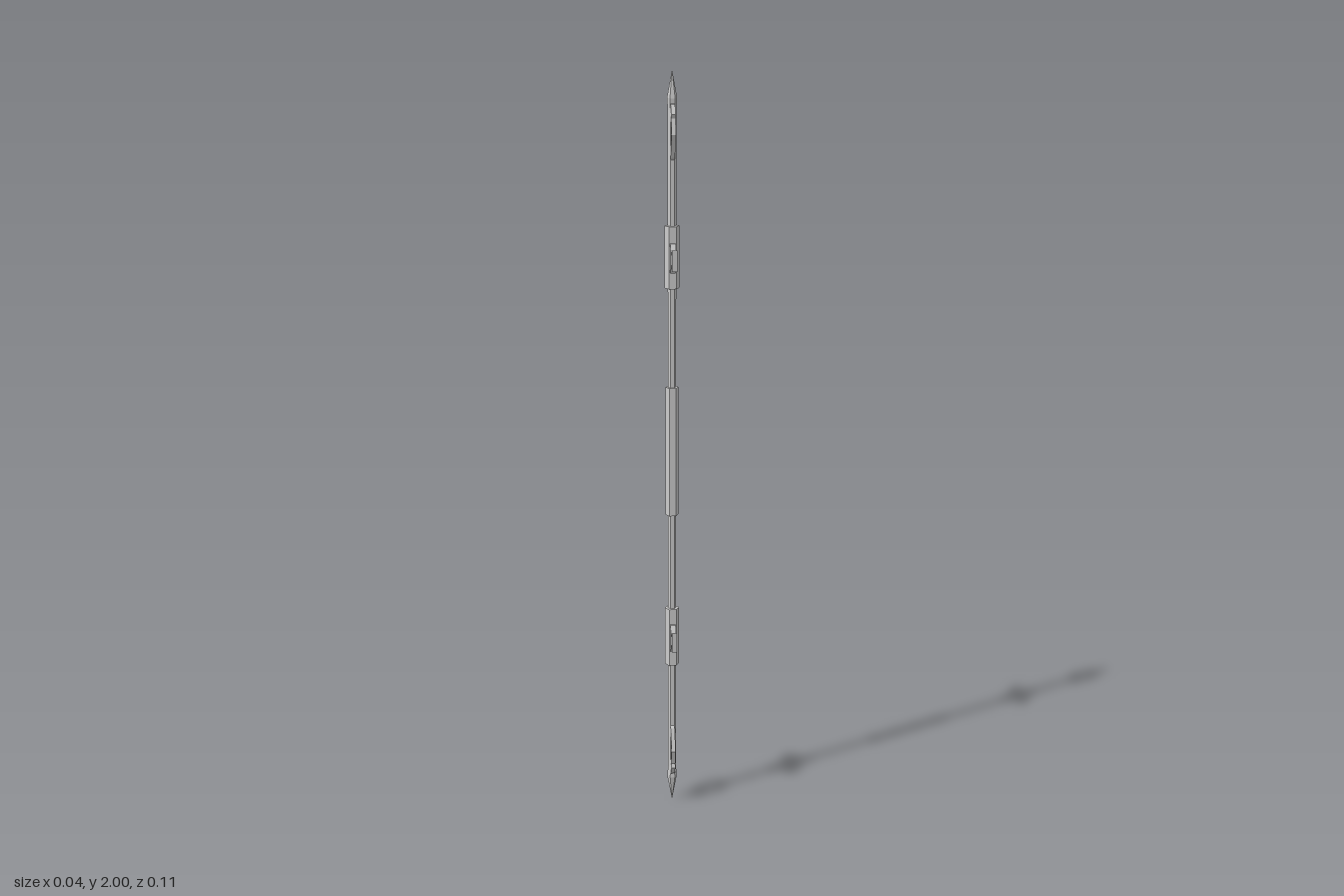
import * as THREE from 'three';

const material = new THREE.MeshStandardMaterial({ color: 0xcccccc, flatShading: true });

// Six-sided rod between two heights, corners pointing along x
function hexRod(name, y0, y1, rBottom, rTop = rBottom) {
  const geo = new THREE.CylinderGeometry(rTop, rBottom, y1 - y0, 6, 1, false, Math.PI / 2);
  const mesh = new THREE.Mesh(geo, material);
  mesh.position.y = (y0 + y1) / 2;
  mesh.name = name;
  return mesh;
}

// Flat plate drawn as [z, y] points, extruded along x and centred on x = 0
function plate(name, outline, hole, thickness) {
  const toPoints = (list) => list.map(([z, y]) => new THREE.Vector2(z, y));
  const shape = new THREE.Shape(toPoints(outline));
  if (hole) shape.holes.push(new THREE.Path(toPoints(hole)));
  const geo = new THREE.ExtrudeGeometry(shape, { depth: thickness, bevelEnabled: false });
  geo.translate(0, 0, -thickness / 2);
  geo.rotateY(-Math.PI / 2);
  const mesh = new THREE.Mesh(geo, material);
  mesh.name = name;
  return mesh;
}

// The same plate on the front and the back
function addPair(group, name, outline, hole, thickness) {
  for (const side of [0, 1]) {
    const mesh = plate(side ? name + 'Back' : name + 'Front', outline, hole, thickness);
    mesh.rotation.y = side * Math.PI;
    group.add(mesh);
  }
}

// Pointed end with barbed, pierced side blades; heights are above the staff centre
function createTip(name) {
  const tip = new THREE.Group();
  tip.name = name;
  tip.add(hexRod('socket', 0.9, 0.93, 0.011, 0.013));
  tip.add(hexRod('spike', 0.93, 1, 0.013, 0));
  addPair(tip, 'blade',
    [[0.004, 0.77], [0.016, 0.782], [0.037, 0.842], [0.026, 0.882], [0.03, 0.893], [0.017, 0.915], [0.004, 0.92]],
    [[0.011, 0.792], [0.028, 0.842], [0.018, 0.872], [0.011, 0.876]],
    0.011);
  return tip;
}

// Hexagonal collar with a looped bracket and flared foot on each side
function createCollar(name) {
  const collar = new THREE.Group();
  collar.name = name;
  collar.add(hexRod('sleeve', -0.081, 0.081, 0.019));
  addPair(collar, 'bracket',
    [[0.01, -0.038], [0.022, -0.038], [0.032, -0.02], [0.033, -0.011], [0.039, -0.013], [0.053, -0.028],
      [0.053, 0.028], [0.039, 0.013], [0.033, 0.011], [0.032, 0.02], [0.022, 0.038], [0.01, 0.038]],
    [[0.013, -0.03], [0.02, -0.03], [0.026, -0.016], [0.026, 0.016], [0.02, 0.03], [0.013, 0.03]],
    0.014);
  return collar;
}

export function createModel() {
  const staff = new THREE.Group();
  staff.name = 'staff';

  // Shaft and centre grip
  staff.add(hexRod('shaft', 0.08, 1.92, 0.011));
  staff.add(hexRod('grip', 0.83, 1.18, 0.017));

  // Collars
  for (const [name, y] of [['upperCollar', 1.525], ['lowerCollar', 0.485]]) {
    const collar = createCollar(name);
    collar.position.y = y;
    staff.add(collar);
  }

  // Matching tips at both ends
  for (const [name, turn] of [['upperTip', 0], ['lowerTip', Math.PI]]) {
    const tip = createTip(name);
    tip.position.y = 1;
    tip.rotation.z = turn;
    staff.add(tip);
  }
  return staff;
}
